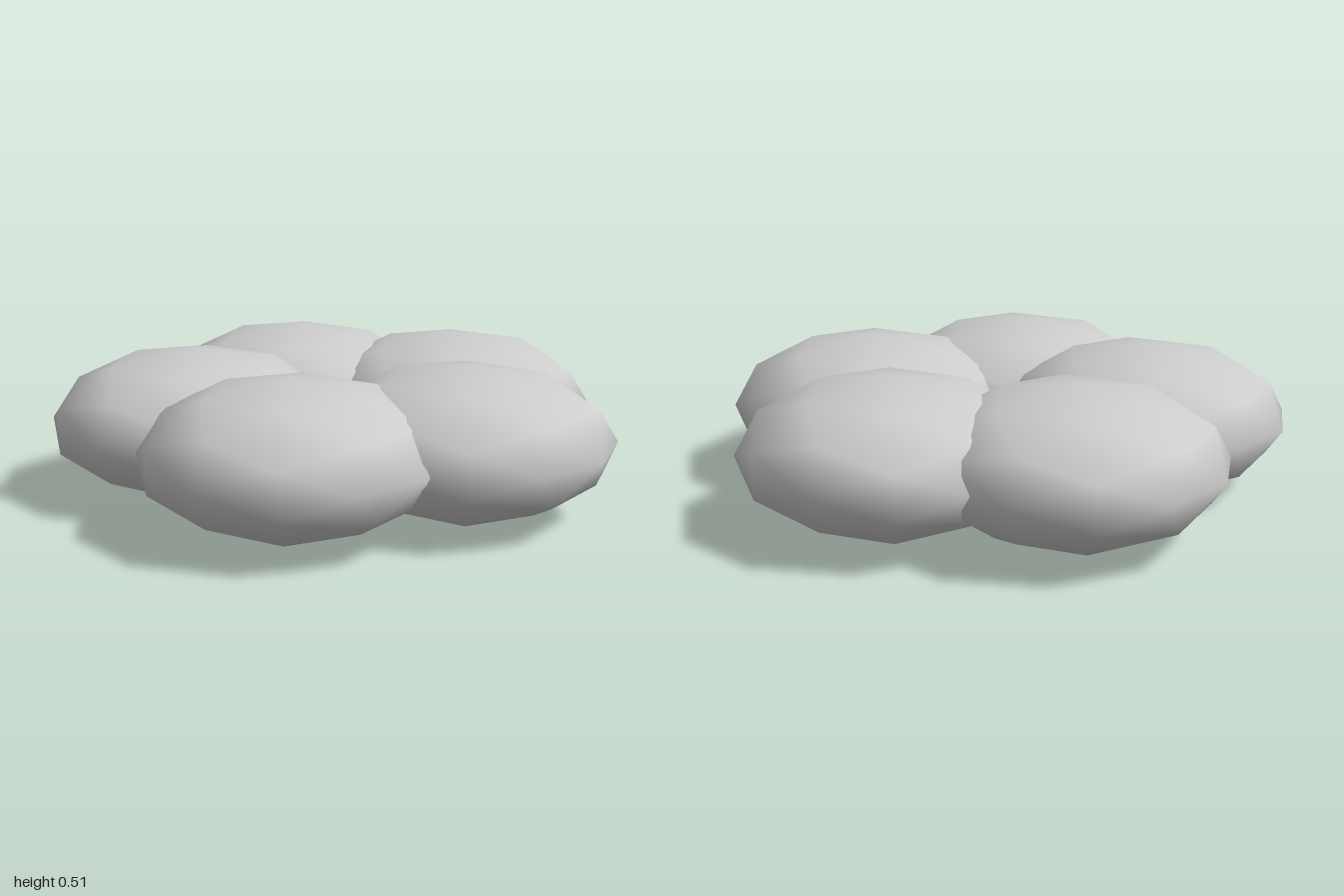
import * as THREE from 'three';

const RADIUS = 0.5126; // puff radius, also the ring radius

export function createModel() {
  const model = new THREE.Group();
  model.name = 'puffRing';

  const lightGrey = new THREE.MeshStandardMaterial({ color: 0xcccccc });
  lightGrey.name = 'lightGrey';

  // One coarse, smooth-shaded ball flattened to half height
  const puffGeometry = new THREE.IcosahedronGeometry(RADIUS, 1);
  puffGeometry.scale(1, 0.5, 1);

  // Five overlapping puffs in a ring, all keeping the same orientation
  const offsetX = -RADIUS * (1 - Math.cos(Math.PI / 5)) / 2;
  for (let i = 0; i < 5; i++) {
    const angle = (i / 5) * Math.PI * 2;
    const puff = new THREE.Mesh(puffGeometry, lightGrey);
    puff.name = `puff${i + 1}`;
    puff.position.set(
      RADIUS * Math.cos(angle) + offsetX,
      RADIUS / 2,
      RADIUS * Math.sin(angle)
    );
    model.add(puff);
  }
  return model;
}
